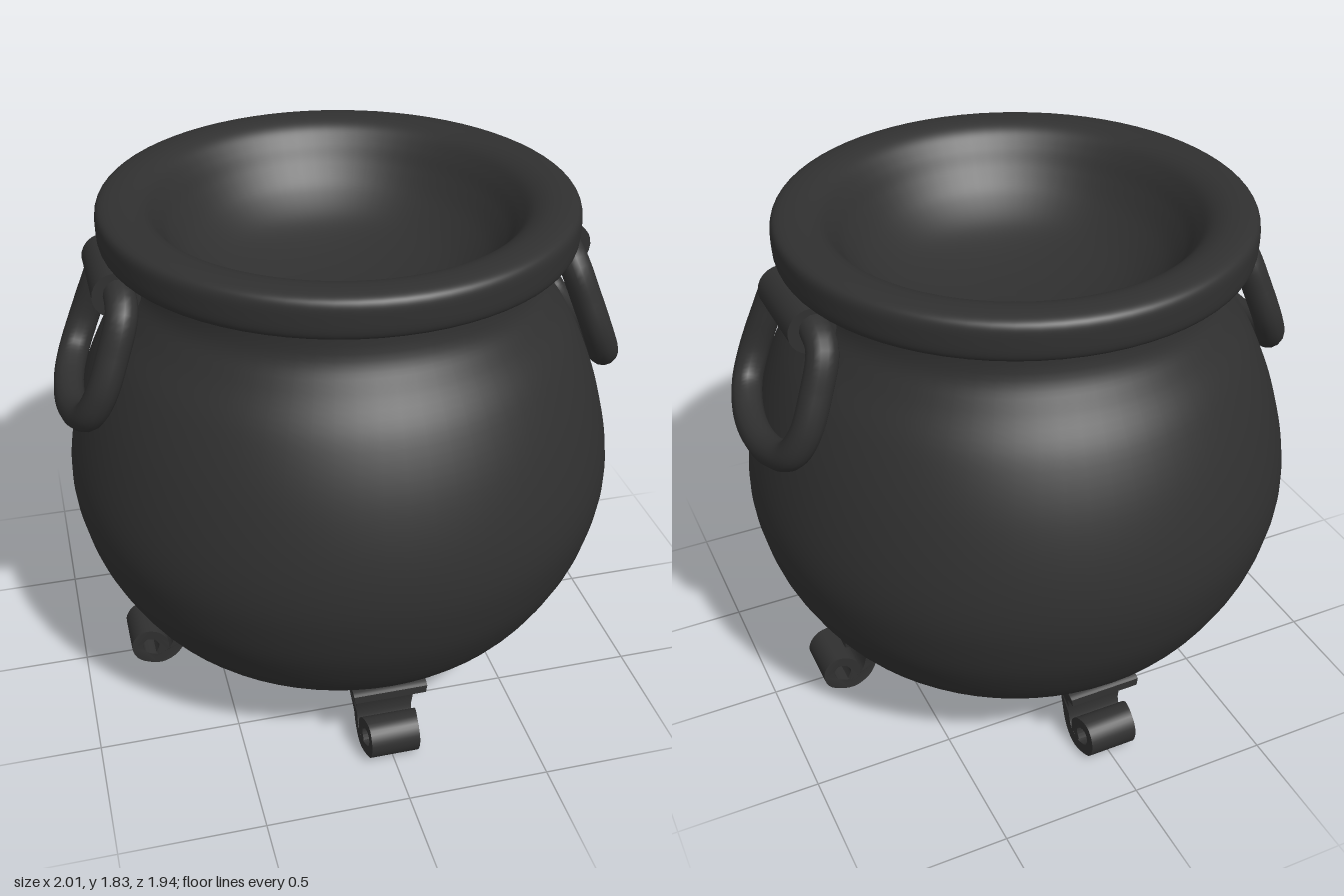
import * as THREE from 'three';
import { toCreasedNormals } from 'three/addons/utils/BufferGeometryUtils.js';

const iron = new THREE.MeshStandardMaterial({ color: 0x303030 });
iron.name = 'cast iron';

function part(name, geometry, parent) {
  const mesh = new THREE.Mesh(geometry, iron);
  mesh.name = name;
  parent.add(mesh);
  return mesh;
}

// Smooth lathe through a few [radius, height] points
function turned(points, samples) {
  const curve = new THREE.SplineCurve(points.map(([r, y]) => new THREE.Vector2(r, y)));
  const profile = curve.getPoints(samples);
  profile.forEach((p) => { p.x = Math.max(p.x, 0); });
  return new THREE.LatheGeometry(profile, 72);
}

// Ring handle hanging from a barrel bracket, built for the +x side
function makeHandle() {
  const handle = new THREE.Group();
  const half = [[0.15, 1.615], [0.235, 1.575], [0.272, 1.45], [0.283, 1.32], [0.245, 1.23], [0.14, 1.184]];
  const loop = [...half, [0, 1.17], ...half.map(([z, y]) => [-z, y]).reverse(), [0, 1.615]];
  // The ring leans outward and its sides bow back around the pot
  const path = new THREE.CatmullRomCurve3(
    loop.map(([z, y]) => new THREE.Vector3(0.775 + (1.61 - y) * 0.4 - 0.35 * z * z, y, z)), true);
  part('handleRing', new THREE.TubeGeometry(path, 80, 0.053, 14, true), handle);

  const barrel = part('handleBracket', new THREE.CylinderGeometry(0.08, 0.08, 0.32, 24), handle);
  barrel.rotation.x = Math.PI / 2;
  barrel.position.set(0.775, 1.608, 0);
  // Strap joining the bracket to the neck
  const strap = part('handleStrap', new THREE.BoxGeometry(0.1, 0.05, 0.32), handle);
  strap.position.set(0.715, 1.67, 0);
  return handle;
}

// Scrolled ribbon foot, built for the +x side
function makeFootGeometry() {
  const curve = new THREE.SplineCurve([
    [0.75, 0.252], [0.70, 0.248], [0.658, 0.205], [0.645, 0.13], [0.67, 0.06], [0.73, 0.024],
    [0.79, 0.038], [0.81, 0.088], [0.785, 0.13], [0.74, 0.132], [0.711, 0.1], [0.717, 0.062],
    [0.735, 0.045],
  ].map(([x, y]) => new THREE.Vector2(x, y)));
  const steps = 56, outer = [], inner = [];
  for (let i = 0; i <= steps; i++) {
    const t = i / steps;
    const p = curve.getPoint(t), d = curve.getTangent(t);
    // Ribbon thins towards the curl and rounds off at its ends
    const h = (0.025 - 0.008 * t) * Math.min(1, 0.55 + 8 * Math.min(t, 1 - t));
    outer.push(new THREE.Vector2(p.x - d.y * h, p.y + d.x * h));
    inner.push(new THREE.Vector2(p.x + d.y * h, p.y - d.x * h));
  }
  const shape = new THREE.Shape([...outer, ...inner.reverse()]);
  const geometry = new THREE.ExtrudeGeometry(shape, { depth: 0.2, steps: 1, bevelEnabled: false });
  geometry.translate(0, 0, -0.1);
  // The ribbon flares where it meets the pot and narrows over the curl
  const pos = geometry.attributes.position;
  for (let i = 0; i < pos.count; i++) {
    const x = pos.getX(i), y = pos.getY(i);
    const flare = 0.32 * THREE.MathUtils.smoothstep(y, 0.14, 0.27);
    const narrow = y < 0.18 ? 0.13 * THREE.MathUtils.smoothstep(x, 0.69, 0.8) : 0;
    pos.setZ(i, pos.getZ(i) * (1 + flare - narrow));
  }
  return toCreasedNormals(geometry, 0.8);
}

export function createModel() {
  const cauldron = new THREE.Group();
  cauldron.name = 'cauldron';

  // Bulbous outer wall
  part('body', turned([
    [0, 0.04], [0.2, 0.05], [0.4, 0.1], [0.6, 0.19], [0.78, 0.322], [0.9, 0.515], [0.955, 0.685],
    [0.972, 0.83], [0.953, 0.99], [0.9, 1.18], [0.825, 1.35], [0.74, 1.48], [0.69, 1.575], [0.68, 1.71],
  ], 70), cauldron);

  // Thick lip flowing smoothly into the shallow dished bowl
  part('rimAndBowl', turned([
    [0.67, 1.69], [0.73, 1.688], [0.785, 1.69], [0.806, 1.71], [0.81, 1.76], [0.806, 1.805], [0.785, 1.826],
    [0.74, 1.834], [0.69, 1.829], [0.645, 1.806], [0.607, 1.76], [0.565, 1.695], [0.5, 1.62],
    [0.4, 1.55], [0.28, 1.505], [0.14, 1.477], [0, 1.47],
  ], 110), cauldron);

  // Handles on both sides
  ['leftHandle', 'rightHandle'].forEach((name, i) => {
    const handle = makeHandle();
    handle.name = name;
    handle.rotation.y = i * Math.PI;
    cauldron.add(handle);
  });

  // Four scrolled feet
  const footGeometry = makeFootGeometry();
  ['leftFoot', 'backFoot', 'rightFoot', 'frontFoot'].forEach((name, i) => {
    part(name, footGeometry, cauldron).rotation.y = i * Math.PI / 2;
  });

  return cauldron;
}
